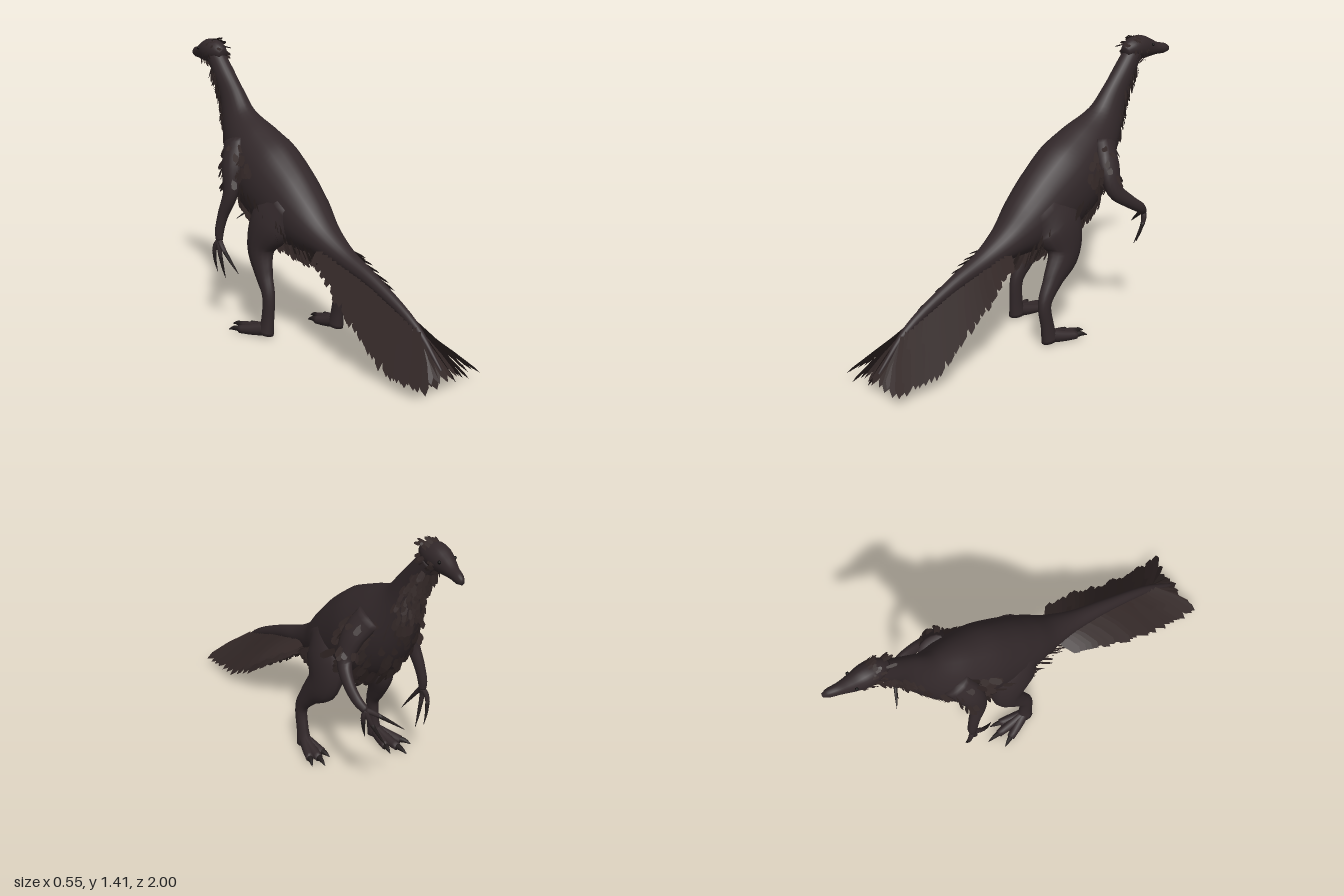
import * as THREE from 'three';
import { mergeGeometries } from 'three/addons/utils/BufferGeometryUtils.js';

const mat = (name, color, side = THREE.FrontSide) => {
  const m = new THREE.MeshStandardMaterial({ color, side });
  m.name = name;
  return m;
};
const V = (x, y, z) => new THREE.Vector3(x, y, z);
const X = V(1, 0, 0);

// Smooth elliptical tube through sections [x, y, z, sideRadius, upRadius]
function limb(sections, steps = 5, sides = 14) {
  const path = new THREE.CatmullRomCurve3(sections.map(s => V(s[0], s[1], s[2])));
  const radii = new THREE.CatmullRomCurve3(sections.map(s => V(s[3], s[4] ?? s[3], 0)), false, 'catmullrom');
  const frame = t => {
    const p = path.getPoint(t), r = radii.getPoint(t), dir = path.getTangent(t);
    const up = X.clone().cross(dir).normalize();
    return { p, r, dir, up, side: dir.clone().cross(up) };
  };
  const surface = (t, a) => {
    const { p, r, side, up } = frame(t);
    return p.addScaledVector(side, Math.cos(a) * r.x).addScaledVector(up, Math.sin(a) * r.y);
  };
  const n = (sections.length - 1) * steps, pos = [], idx = [];
  for (let i = 0; i <= n; i++)
    for (let j = 0; j < sides; j++) pos.push(...surface(i / n, j / sides * Math.PI * 2).toArray());
  pos.push(...path.getPoint(0).toArray(), ...path.getPoint(1).toArray());
  const c0 = (n + 1) * sides;
  for (let j = 0; j < sides; j++) {
    const k = (j + 1) % sides;
    for (let i = 0; i < n; i++) {
      const a = i * sides + j, b = i * sides + k;
      idx.push(a, a + sides, b, b, a + sides, b + sides);
    }
    idx.push(c0, j, k, c0 + 1, n * sides + k, n * sides + j);
  }
  const geo = new THREE.BufferGeometry();
  geo.setAttribute('position', new THREE.Float32BufferAttribute(pos, 3));
  geo.setIndex(idx);
  geo.computeVertexNormals();
  return { geo, frame, surface };
}

// Flat blade from base to tip, facing the given normal
function feather(base, tip, width, normal) {
  const dir = tip.clone().sub(base);
  const w = dir.clone().cross(normal).normalize().multiplyScalar(width / 2);
  const at = (t, s) => base.clone().addScaledVector(dir, t).addScaledVector(w, s);
  const pts = [at(0, 0.35), at(0.5, 1), at(0.88, 0.85), at(1, 0), at(0.88, -0.85), at(0.5, -1), at(0, -0.35)];
  const pos = [];
  for (let i = 1; i < 6; i++) for (const q of [pts[0], pts[i], pts[i + 1]]) pos.push(q.x, q.y, q.z);
  const g = new THREE.BufferGeometry();
  g.setAttribute('position', new THREE.Float32BufferAttribute(pos, 3));
  g.computeVertexNormals();
  return g;
}

export function createModel() {
  const model = new THREE.Group();
  const skin = mat('dark brown skin', 0x32282a);
  const plume = mat('brown feather', 0x322726, THREE.DoubleSide);
  const horn = mat('dark claw', 0x241e1e);
  const black = mat('black eye', 0x0c0a0a);
  let seed = 7;
  const rnd = (a = 0, b = 1) => {
    seed = (seed * 16807) % 2147483647;
    return a + (b - a) * seed / 2147483647;
  };
  const add = (name, geo, material, parent = model) => {
    const m = new THREE.Mesh(geo, material);
    m.name = name;
    parent.add(m);
    return m;
  };

  // Tail, torso and neck in one sweep
  const body = limb([
    [0, 0.09, 0.95, 0.008, 0.008], [0, 0.25, 0.78, 0.02, 0.022], [0, 0.39, 0.5, 0.035, 0.037],
    [0, 0.46, 0.3, 0.055, 0.055], [0, 0.52, 0.15, 0.09, 0.09], [0, 0.58, 0.02, 0.13, 0.15],
    [0, 0.66, -0.13, 0.155, 0.2], [0, 0.76, -0.29, 0.165, 0.22], [0, 0.87, -0.42, 0.14, 0.185],
    [0.005, 1.0, -0.54, 0.085, 0.12], [0.01, 1.13, -0.615, 0.056, 0.08],
    [0.01, 1.24, -0.69, 0.05, 0.06], [0.01, 1.33, -0.76, 0.045, 0.052]], 5, 24);
  add('body', body.geo, skin);

  // Head with narrow snout
  const head = limb([
    [0.01, 1.33, -0.69, 0.025, 0.03], [0.01, 1.345, -0.74, 0.05, 0.052], [0.01, 1.345, -0.8, 0.054, 0.062],
    [0.015, 1.335, -0.86, 0.042, 0.05], [0.025, 1.325, -0.92, 0.028, 0.032],
    [0.035, 1.32, -0.97, 0.021, 0.026], [0.04, 1.315, -0.998, 0.01, 0.013]], 5, 18);
  add('head', head.geo, skin);
  for (const s of [-1, 1]) {
    const eye = add('eye', new THREE.SphereGeometry(0.008, 10, 8), black);
    eye.position.set(0.014 + s * 0.041, 1.355, -0.86);
  }

  // Legs: right one steps forward, left one trails
  const legs = [
    [[0.08, 0.68, -0.03, 0.06, 0.1], [0.115, 0.57, -0.1, 0.075, 0.14], [0.14, 0.44, -0.11, 0.06, 0.105],
      [0.16, 0.33, -0.02, 0.04, 0.06], [0.17, 0.22, 0.05, 0.03, 0.037], [0.175, 0.1, 0.035, 0.028, 0.037],
      [0.175, 0.02, 0.02, 0.035, 0.045]],
    [[-0.08, 0.68, -0.05, 0.06, 0.1], [-0.115, 0.57, -0.13, 0.075, 0.13], [-0.14, 0.44, -0.18, 0.06, 0.085],
      [-0.155, 0.32, -0.14, 0.04, 0.055], [-0.165, 0.22, -0.09, 0.03, 0.037], [-0.17, 0.1, -0.09, 0.028, 0.037],
      [-0.175, 0.02, -0.1, 0.035, 0.045]]];
  const toes = [
    [[0.25, -0.17], [0.195, -0.2], [0.135, -0.15]],
    [[-0.27, -0.28], [-0.2, -0.34], [-0.135, -0.29]]];
  legs.forEach((sections, i) => {
    const leg = new THREE.Group();
    leg.name = i ? 'rightLeg' : 'leftLeg';
    model.add(leg);
    add('legShape', limb(sections).geo, skin, leg);
    const [ax, , az] = sections[6];
    for (const [tx, tz] of toes[i]) {
      const at = (t, y, rx, ry) => [ax + (tx - ax) * t, y, az + (tz - az) * t, rx, ry];
      add('toe', limb([at(0, 0.045, 0.027, 0.035), at(0.35, 0.032, 0.026, 0.028), at(0.72, 0.024, 0.02, 0.02)], 4, 10).geo, skin, leg);
      add('toeClaw', limb([at(0.68, 0.026, 0.015, 0.017), at(0.85, 0.026, 0.01, 0.012), at(1, 0.016, 0.002, 0.002)], 3, 8).geo, horn, leg);
    }
  });

  // Arms: left one reaches forward, right one hangs
  const arms = [
    [[0.11, 0.93, -0.44, 0.04, 0.07], [0.17, 0.83, -0.4, 0.045, 0.065], [0.215, 0.71, -0.4, 0.035, 0.045],
      [0.245, 0.64, -0.48, 0.026, 0.033], [0.25, 0.59, -0.56, 0.022, 0.027], [0.235, 0.56, -0.6, 0.018, 0.02]],
    [[-0.11, 0.93, -0.44, 0.04, 0.07], [-0.16, 0.82, -0.39, 0.045, 0.065], [-0.185, 0.69, -0.37, 0.034, 0.045],
      [-0.205, 0.57, -0.41, 0.026, 0.03], [-0.215, 0.48, -0.43, 0.022, 0.025], [-0.215, 0.44, -0.43, 0.018, 0.02]]];
  const fingers = [
    [[0.08, 0.45, -0.69], [0.15, 0.36, -0.65], [0.21, 0.39, -0.56]],
    [[-0.18, 0.23, -0.43], [-0.185, 0.28, -0.31], [-0.2, 0.26, -0.47]]];
  const arms3D = arms.map((sections, i) => {
    const arm = new THREE.Group();
    arm.name = i ? 'rightArm' : 'leftArm';
    model.add(arm);
    const shape = limb(sections);
    add('armShape', shape.geo, skin, arm);
    const wrist = V(...sections[5]);
    fingers[i].forEach((tip, k) => {
      const at = (t, r, bend) => {
        const p = wrist.clone().lerp(V(...tip), t);
        return [p.x + (i ? -1 : 1) * bend, p.y + bend, p.z - (k - 1) * bend * 0.5, r, r];
      };
      add('finger', limb([at(0, 0.014, 0), at(0.25, 0.013, 0.015), at(0.5, 0.01, 0.02)], 4, 8).geo, skin, arm);
      add('fingerClaw', limb([at(0.45, 0.011, 0.02), at(0.75, 0.007, 0.013), at(1, 0.001, 0)], 4, 8).geo, horn, arm);
    });
    return shape;
  });

  // Tail plumage: three drooping layers a side
  const tail = [];
  for (const s of [-1, 1]) for (let k = 0; k < 3; k++) for (let i = 0; i < 24; i++) {
    const f = i / 23, z = 0.16 + f * 0.66;
    const spineY = z < 0.5 ? 0.39 + (0.5 - z) * 0.36 : 0.39 - (z - 0.5) * 0.5;
    const tz = z + 0.1 + f * 0.07 + rnd(-0.015, 0.015);
    const low = Math.max(0.015, 0.37 - 0.72 * (tz - 0.27)) + [0.05, 0.01, 0.02][k] * (1 - f * 0.6);
    const spread = [0.185, 0.13, 0.06][k] * (0.8 + 0.2 * Math.min(1, f * 3));
    tail.push(feather(V(s * 0.015, spineY + 0.01 - k * 0.01, z),
      V(s * (spread + rnd(-0.012, 0.012)), low + rnd(0, 0.02), tz), 0.05, V(s * 0.8, 0.6, 0.1)));
  }
  for (let i = -2; i <= 2; i++)
    tail.push(feather(V(i * 0.006, 0.25, 0.78), V(i * 0.04, 0.05, 0.995 - Math.abs(i) * 0.012), 0.045, V(i * 0.2, 1, 0.6)));
  add('tailFeathers', mergeGeometries(tail), plume);

  // Shaggy coat on throat, chest, belly and flanks
  const coat = [];
  const tuft = (shape, t, a, length, lift, width, drop = 0) => {
    const { p, dir } = shape.frame(t), base = shape.surface(t, a);
    const out = base.clone().sub(p).normalize();
    const tip = base.clone().addScaledVector(dir, -length).addScaledVector(out, lift);
    tip.y -= drop;
    coat.push(feather(base.addScaledVector(out, -0.008), tip, width, out));
  };
  for (let i = 0; i < 520; i++) {
    const t = rnd(0.42, 0.97), neck = t > 0.78;
    tuft(body, t, Math.PI * rnd(1.02, 1.98), neck ? rnd(0.03, 0.06) : rnd(0.06, 0.11),
      rnd(0.008, 0.028), neck ? 0.02 : 0.035, neck ? 0.015 : 0.01);
  }
  // Shoulder and hip fringes
  for (let i = 0; i < 70; i++) {
    const s = i % 2;
    tuft(body, rnd(0.6, 0.72), Math.PI * (s ? rnd(0.88, 1.1) : rnd(-0.1, 0.12)), rnd(0.05, 0.09), rnd(0.02, 0.045), 0.035, 0.02);
    tuft(body, rnd(0.28, 0.42), Math.PI * rnd(1.1, 1.9), rnd(0.05, 0.1), rnd(0, 0.02), 0.035, 0.03);
  }
  // Upper arm feathers
  for (const arm of arms3D) for (let i = 0; i < 30; i++)
    tuft(arm, rnd(0.02, 0.32), rnd(0, Math.PI * 2), -rnd(0.04, 0.07), rnd(0.005, 0.02), 0.03);
  // Cheek ruff and nape crest
  for (let i = 0; i < 50; i++) {
    tuft(head, rnd(0.12, 0.5), Math.PI * rnd(0.95, 2.05), -rnd(-0.05, -0.02), rnd(0.004, 0.016), 0.016, 0.02);
    if (i < 24) tuft(head, rnd(0.1, 0.36), Math.PI * rnd(0.15, 0.85), rnd(0.03, 0.065), rnd(0, 0.01), 0.016);
  }
  add('bodyFeathers', mergeGeometries(coat), plume);
  return model;
}
